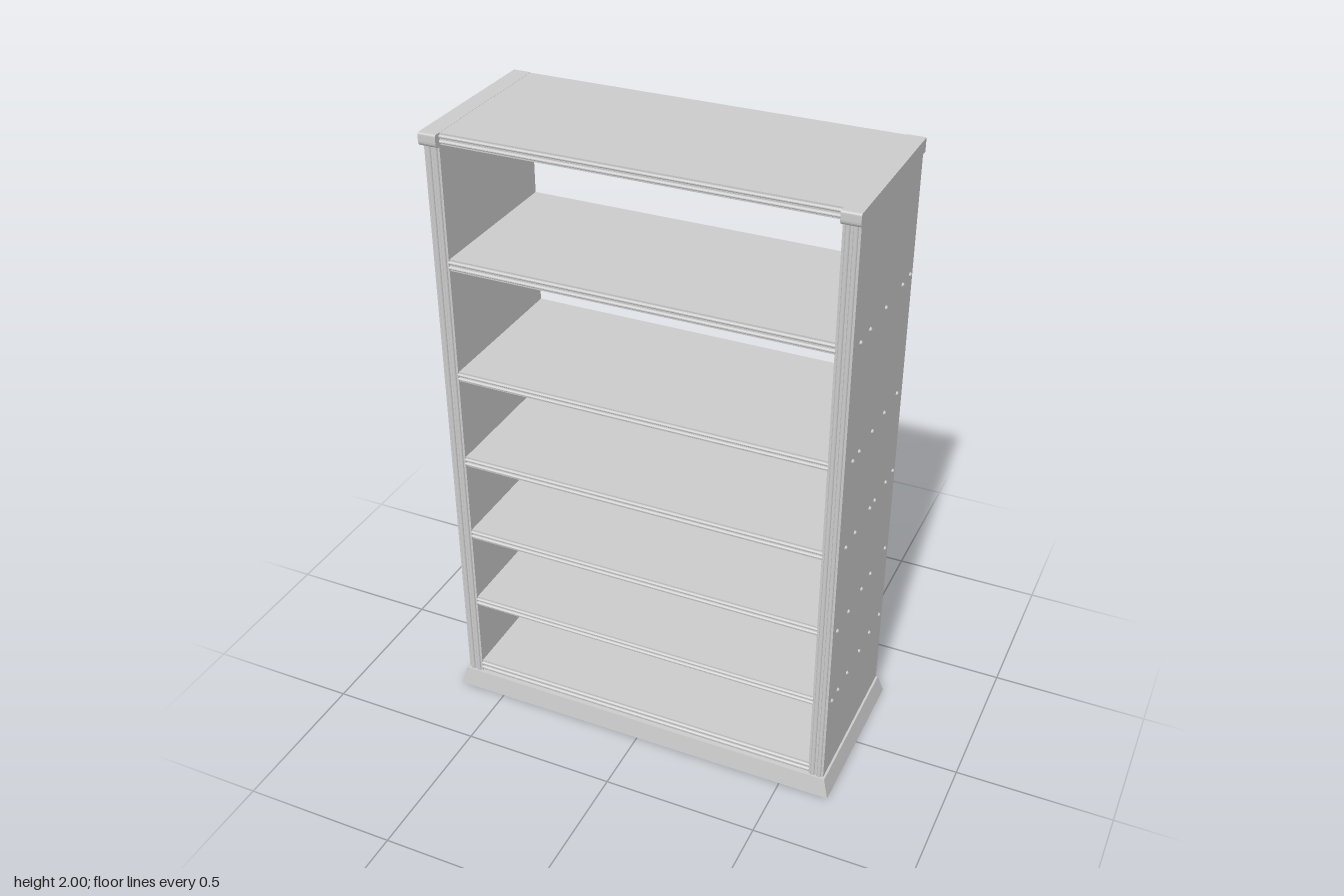
import * as THREE from 'three';

const mat = new THREE.MeshStandardMaterial({ color: 0xcccccc });
const X = new THREE.Vector3(1, 0, 0), Y = new THREE.Vector3(0, 1, 0), Z = new THREE.Vector3(0, 0, 1);
// the extruded section has depth as its first axis and thickness as its second
const alongX = new THREE.Matrix4().makeBasis(Z, Y, X.clone().negate());
const alongY = new THREE.Matrix4().makeBasis(Z, X, Y);

// board section with a fine beaded edge facing the front
function beadedSection(back, front, thickness) {
  const h = thickness / 2, d = 0.006;
  const s = new THREE.Shape();
  s.moveTo(back, -h);
  s.lineTo(front - d, -h);
  s.lineTo(front - d, -h * 0.72);
  s.quadraticCurveTo(front, -h * 0.68, front, -h * 0.45);
  s.quadraticCurveTo(front, -h * 0.2, front - d, -h * 0.15);
  s.lineTo(front - d, h * 0.15);
  s.quadraticCurveTo(front, h * 0.2, front, h * 0.45);
  s.quadraticCurveTo(front, h * 0.68, front - d, h * 0.72);
  s.lineTo(front - d, h);
  s.lineTo(back, h);
  return s;
}

function extruded(section, length, basis) {
  const geo = new THREE.ExtrudeGeometry(section, { depth: length, bevelEnabled: false, curveSegments: 5 });
  return geo.translate(0, 0, -length / 2).applyMatrix4(basis);
}

export function createModel() {
  const model = new THREE.Group();
  const add = (name, geo, x = 0, y = 0, z = 0) => {
    const mesh = new THREE.Mesh(geo, mat);
    mesh.name = name;
    mesh.position.set(x, y, z);
    model.add(mesh);
    return mesh;
  };

  // plinth with sloping sides
  const plinth = new THREE.BoxGeometry(1.324, 0.065, 0.56);
  const p = plinth.attributes.position;
  for (let i = 0; i < p.count; i++) {
    if (p.getY(i) > 0) p.setXYZ(i, Math.sign(p.getX(i)) * 0.645, p.getY(i), p.getZ(i) > 0 ? 0.27 : -0.262);
  }
  plinth.computeVertexNormals();
  add('plinth', plinth, 0, 0.0325);

  // shelves and top board: [centre height, thickness]
  const boards = [[0.086, 0.04], [0.362, 0.034], [0.635, 0.034], [0.914, 0.034], [1.221, 0.032], [1.594, 0.037], [1.982, 0.035]];
  boards.forEach(([y, t], i) => {
    const name = i === boards.length - 1 ? 'topBoard' : 'shelf';
    add(name, extruded(beadedSection(-0.262, 0.262, t), 1.18, alongX), 0, y);
  });

  // rounded cap section
  const cap = new THREE.Shape();
  cap.moveTo(-0.265, -0.021);
  cap.lineTo(0.262, -0.021);
  cap.quadraticCurveTo(0.28, -0.019, 0.28, -0.004);
  cap.lineTo(0.28, 0.014);
  cap.quadraticCurveTo(0.28, 0.021, 0.273, 0.021);
  cap.lineTo(-0.265, 0.021);

  // peg depths for each shelf
  const pegRows = [
    [0.36, [0.23, 0.175, 0.09, -0.025, -0.125, -0.225]],
    [0.63, [0.225, 0.125, 0.005, -0.08, -0.225]],
    [0.92, [0.2, 0.12, -0.015, -0.06, -0.165, -0.235]],
    [1.215, [0.195, 0.14, 0.025, -0.085, -0.205]],
    [1.595, [0.2, 0.12, -0.015, -0.165, -0.235]],
  ];
  const pegGeo = new THREE.SphereGeometry(0.007, 8, 6);

  for (const side of [-1, 1]) {
    const prefix = side > 0 ? 'left' : 'right';
    add(prefix + 'SidePanel', extruded(beadedSection(-0.262, 0.266, 0.05), 1.898, alongY), side * 0.613, 1.011);
    add(prefix + 'Cap', extruded(cap, 0.056, alongX), side * 0.615, 1.979);
    for (const [y, depths] of pegRows) {
      for (const z of depths) add(prefix + 'Peg', pegGeo, side * 0.638, y, z);
    }
  }
  return model;
}
